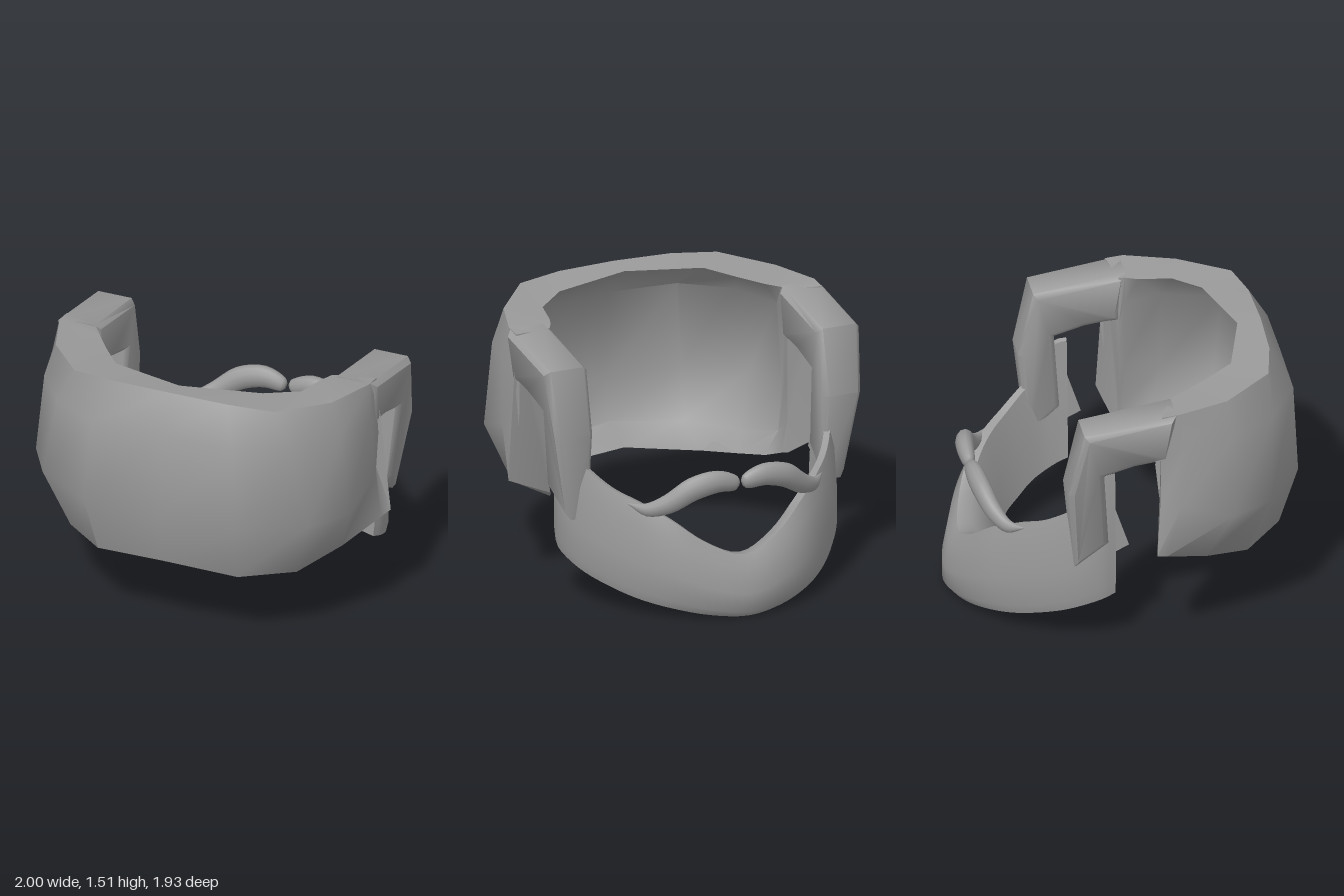
import * as THREE from 'three';
import { toCreasedNormals } from 'three/addons/utils/BufferGeometryUtils.js';

const V = (x, y, z) => new THREE.Vector3(x, y, z);

// Tube-like surface through a list of closed cross-sections, capped at both ends
function loft(sections) {
  const n = sections[0].length, pos = [], idx = [];
  sections.forEach(s => s.forEach(p => pos.push(p.x, p.y, p.z)));
  for (let i = 0; i < sections.length - 1; i++) {
    for (let j = 0; j < n; j++) {
      const a = i * n + j, b = i * n + (j + 1) % n, c = a + n, d = b + n;
      idx.push(a, b, c, b, d, c);
    }
  }
  const e = (sections.length - 1) * n;
  for (let j = 1; j < n - 1; j++) idx.push(0, j + 1, j, e, e + j, e + j + 1);
  const g = new THREE.BufferGeometry();
  g.setAttribute('position', new THREE.Float32BufferAttribute(pos, 3));
  g.setIndex(idx);
  g.computeVertexNormals();
  return g;
}

// Smoothly resample sections along their length
function smoothSections(sections, count) {
  const rows = sections[0].map((_, j) => new THREE.CatmullRomCurve3(sections.map(s => s[j])));
  return Array.from({ length: count + 1 }, (_, i) => rows.map(r => r.getPoint(i / count)));
}

const mirror = (p, s) => V(p.x * s, p.y, p.z);

export function createModel() {
  const group = new THREE.Group();
  const hair = new THREE.MeshStandardMaterial({ color: 0x999999, side: THREE.DoubleSide });
  hair.name = 'grey hair';
  const add = (name, geo) => {
    const m = new THREE.Mesh(geo, hair);
    m.name = name;
    group.add(m);
  };

  // Wrap-around hair: outer columns from the middle to the ear, top to bottom
  const columns = [
    [V(0, 1.51, 0.81), V(0, 1.3, 0.92), V(0, 0.78, 0.97), V(0, 0.5, 0.9)],
    [V(0.34, 1.505, 0.8), V(0.42, 1.29, 0.92), V(0.46, 0.8, 0.94), V(0.42, 0.46, 0.84)],
    [V(0.6, 1.49, 0.75), V(0.7, 1.28, 0.76), V(0.8, 0.8, 0.73), V(0.68, 0.44, 0.62)],
    [V(0.83, 1.465, 0.48), V(0.89, 1.27, 0.5), V(0.94, 0.8, 0.5), V(0.84, 0.51, 0.36)],
    [V(0.93, 1.46, 0.2), V(0.955, 1.28, 0.24), V(0.97, 0.9, 0.2), V(0.97, 0.6, 0.12)],
    [V(0.93, 1.45, 0.1), V(0.93, 1.16, 0.06), V(0.92, 0.9, 0.09), V(1, 0.62, 0.06)],
  ];
  // Inner rim [x, bottom y, top y, z], slightly uneven between the sides
  const inner = {
    1: [[0, 0.46, 1.49, 0.68], [0.45, 0.47, 1.48, 0.56], [0.62, 0.38, 1.46, 0.42],
      [0.66, 0.42, 1.45, 0.24], [0.69, 0.46, 1.45, 0.17], [0.71, 0.48, 1.44, 0.14]],
    '-1': [[0, 0.46, 1.49, 0.68], [0.43, 0.41, 1.48, 0.57], [0.56, 0.43, 1.46, 0.4],
      [0.66, 0.45, 1.45, 0.26], [0.72, 0.48, 1.45, 0.18], [0.74, 0.49, 1.44, 0.14]],
  };
  // The inside is hollowed out between its two rims, less so near the ears
  const hollow = [0.88, 0.9, 0.85, 0.6, 0.1, 0];
  const half = s => columns.map((c, i) => {
    const [x, y0, y1, z] = inner[s][i];
    const low = V(x, y0, z), top = V(x, y1, z);
    const inside = (rim, outer, dy) => V(
      rim.x + (outer.x - rim.x) * hollow[i], outer.y + dy, rim.z + (outer.z - rim.z) * hollow[i]);
    return [...c, low, inside(low, c[3], 0.05), inside(low, c[2], 0), inside(top, c[1], 0), top].map(p => mirror(p, s));
  });
  add('backHair', toCreasedNormals(loft([...half(-1).reverse(), ...half(1).slice(1)]), 1));

  // Sideburn arch over each ear, drawn in side profile as [z, y]
  const arch = [[0.18, 1.455], [-0.335, 1.37], [-0.42, 1.0], [-0.37, 0.5], [-0.19, 0.66],
    [-0.22, 1.1], [-0.05, 1.15], [0.06, 1.165], [0.14, 1.17]];
  const shape = new THREE.Shape(arch.map(([z, y]) => new THREE.Vector2(-z, y)));
  const clamp = THREE.MathUtils.clamp;
  for (const s of [1, -1]) {
    const g = new THREE.ExtrudeGeometry(shape, {
      depth: 0.2, bevelEnabled: true, bevelThickness: 0.03, bevelSize: 0.03, bevelOffset: -0.03, bevelSegments: 1,
    });
    g.rotateY(Math.PI / 2);
    g.translate(s > 0 ? 0.73 : -0.93, 0, 0);
    // Narrow the arch below its top, and draw the lower tip in towards the cheek
    const p = g.attributes.position;
    for (let i = 0; i < p.count; i++) {
      const y = p.getY(i), x = Math.abs(p.getX(i));
      const t = 0.12 * clamp((1.35 - y) / 0.25, 0, 1) + 0.4 * clamp((0.8 - y) / 0.3, 0, 1);
      p.setX(i, s * (x + (0.72 - x) * t));
    }
    add(s > 0 ? 'leftSideburn' : 'rightSideburn', toCreasedNormals(g, 0.85));
  }

  // Small thin hair wedge at the ear
  for (const s of [1, -1]) {
    const wedge = new THREE.Shape([[0.14, 0.83], [0.14, 0.55], [0.06, 0.59]].map(([z, y]) => new THREE.Vector2(z, y)));
    const g = new THREE.ExtrudeGeometry(wedge, { depth: 0.01, bevelEnabled: false });
    g.rotateY(Math.PI / 2);
    g.translate(0.78 * s, 0, 0);
    add(s > 0 ? 'leftWedge' : 'rightWedge', g);
  }

  // Beard stations: outer x, z, inner x, z, outer bottom, inner bottom, top
  const stations = [
    [0.815, -0.14, 0.73, -0.14, 0.31, 0.33, 1.05],
    [0.83, -0.21, 0.72, -0.2, 0.285, 0.31, 1.03],
    [0.815, -0.32, 0.69, -0.28, 0.245, 0.28, 0.86],
    [0.77, -0.43, 0.64, -0.36, 0.2, 0.25, 0.79],
    [0.685, -0.56, 0.56, -0.45, 0.15, 0.2, 0.71],
    [0.57, -0.69, 0.46, -0.53, 0.1, 0.17, 0.65],
    [0.42, -0.82, 0.33, -0.59, 0.06, 0.14, 0.56],
    [0.22, -0.92, 0.17, -0.625, 0.02, 0.11, 0.42],
    [0, -0.965, 0, -0.64, 0, 0.1, 0.34],
  ];
  const beardSection = ([ox, oz, ix, iz, yo, yi, yt], s) => {
    const at = (k, y) => V(s * (ox + (ix - ox) * k), y, oz + (iz - oz) * k);
    const h = yt - yo;
    return [at(0.1, yo), at(0, yo + h * 0.1), at(0, yo + h * 0.4), at(0.1, yo + h * 0.8),
      at(0.26, yt), at(0.5, yt - 0.01), at(0.8, yi + (yt - yi) * 0.5), at(1, yi)];
  };
  const halfBeard = s => stations.map(st => beardSection(st, s));
  const beard = smoothSections([...halfBeard(1), ...halfBeard(-1).reverse().slice(1)], 64);
  add('beard', toCreasedNormals(loft(beard), 0.9));

  // Moustache halves: path points with a radius at each
  const path = [V(0.012, 0.735, -0.815), V(0.03, 0.74, -0.815), V(0.14, 0.765, -0.815), V(0.28, 0.735, -0.795),
    V(0.41, 0.65, -0.745), V(0.51, 0.615, -0.685), V(0.59, 0.64, -0.615)];
  const radii = [0.02, 0.042, 0.064, 0.068, 0.056, 0.038, 0.003];
  for (const s of [1, -1]) {
    const rings = path.map((p, i) => {
      const t = path[Math.min(i + 1, 6)].clone().sub(path[Math.max(i - 1, 0)]).normalize();
      const u = V(0, 1, 0).cross(t).normalize(), w = t.clone().cross(u);
      return Array.from({ length: 12 }, (_, j) => {
        const a = j / 12 * Math.PI * 2;
        const q = p.clone().addScaledVector(u, Math.cos(a) * radii[i] * 0.75).addScaledVector(w, Math.sin(a) * radii[i]);
        return mirror(q, s);
      });
    });
    add(s > 0 ? 'leftMoustache' : 'rightMoustache', loft(smoothSections(rings, 24)));
  }
  return group;
}
